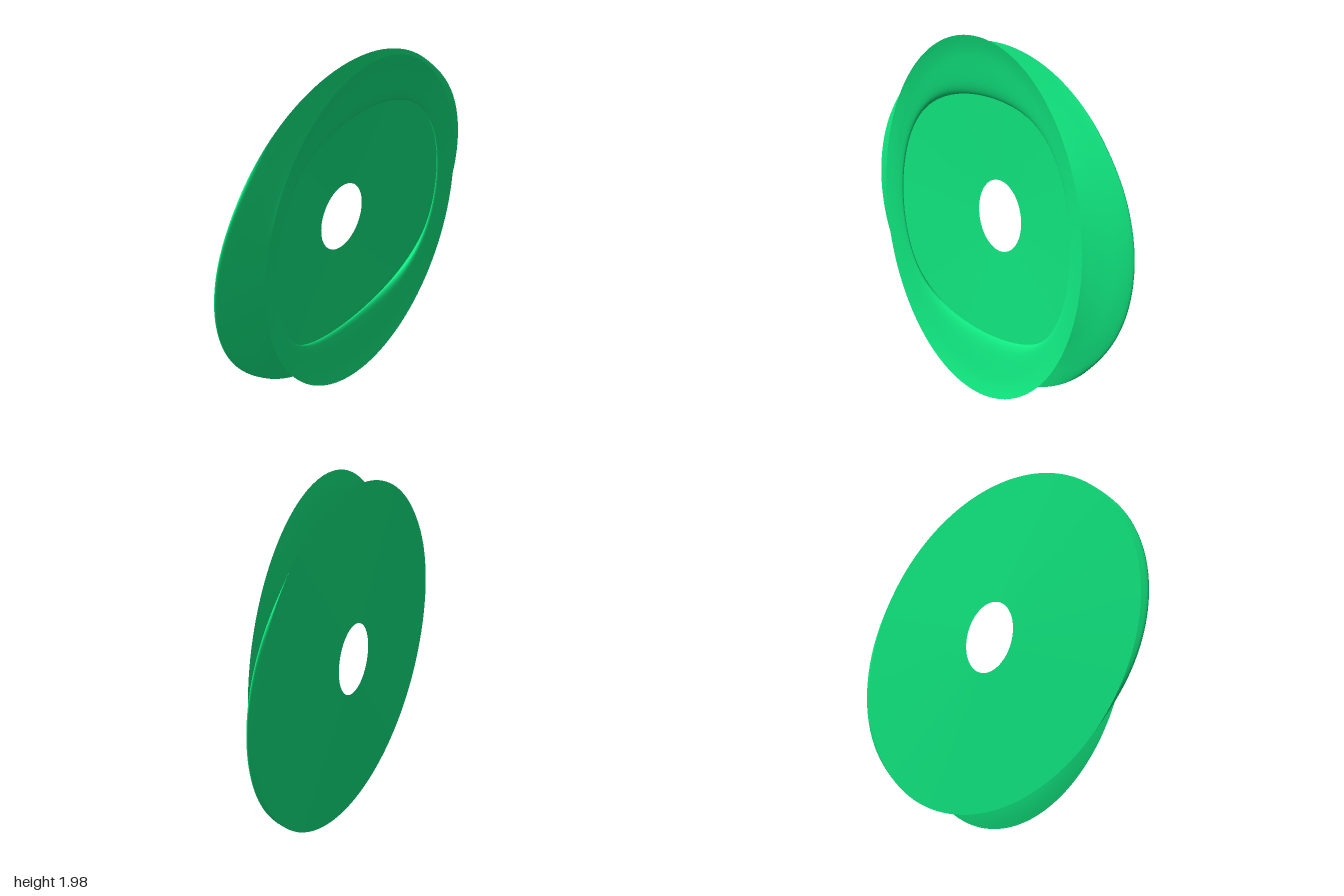
import * as THREE from 'three';

const SEGMENTS = 160;
const CENTRE_Y = 0.995;

// Wall profiles as [radius, z], front lip to back rim: one along x, one along y
const SIDE = [[0.78, 0.085], [0.71, 0.07], [0.667, 0.05], [0.73, 0.028],
  [0.83, 0.004], [0.94, -0.02], [1.0, -0.043], [0.965, -0.06]];
const TOP = [[0.99, 0.085], [0.9, 0.06], [0.73, 0.03], [0.667, 0.003],
  [0.69, -0.017], [0.76, -0.035], [0.85, -0.049], [0.94, -0.06]];

const spline = (pts) => new THREE.SplineCurve(pts.map(([r, z]) => new THREE.Vector2(r, z)));

// Closed surface of rings; pointAt(s, angle) gives a point for s in 0..1
function ringSurface(rows, pointAt) {
  const positions = [], indices = [];
  for (let i = 0; i <= rows; i++) {
    for (let j = 0; j < SEGMENTS; j++) {
      positions.push(...pointAt(i / rows, (j / SEGMENTS) * Math.PI * 2));
    }
  }
  for (let i = 0; i < rows; i++) {
    for (let j = 0; j < SEGMENTS; j++) {
      const k = (j + 1) % SEGMENTS;
      const a = i * SEGMENTS + j, b = i * SEGMENTS + k;
      const c = a + SEGMENTS, d = b + SEGMENTS;
      indices.push(a, c, b, b, c, d);
    }
  }
  const geometry = new THREE.BufferGeometry();
  geometry.setAttribute('position', new THREE.Float32BufferAttribute(positions, 3));
  geometry.setIndex(indices);
  geometry.computeVertexNormals();
  return geometry;
}

export function createModel() {
  const group = new THREE.Group();
  group.name = 'ovalGroovedDish';
  const material = new THREE.MeshStandardMaterial({ color: 0x10e880, side: THREE.DoubleSide });
  const add = (name, geometry) => {
    const mesh = new THREE.Mesh(geometry, material);
    mesh.name = name;
    mesh.position.y = CENTRE_Y;
    group.add(mesh);
  };

  // Grooved wall: tall oval lip at the front, wide rim at the back, squarish throat between
  const side = spline(SIDE), top = spline(TOP);
  add('groovedWall', ringSurface(48, (s, t) => {
    const p = side.getPoint(s), q = top.getPoint(s);
    const corner = 1 + 0.035 * Math.sin(Math.PI * s) * Math.sin(2 * t) ** 2;
    return [
      p.x * corner * Math.cos(t),
      q.x * corner * Math.sin(t),
      THREE.MathUtils.lerp(p.y, q.y, Math.sin(t) ** 2),
    ];
  }));

  // Shallow conical back with an oval hole
  const lerp = THREE.MathUtils.lerp;
  add('backDisc', ringSurface(8, (s, t) => [
    lerp(0.965, 0.168, s) * Math.cos(t),
    lerp(0.94, 0.2, s) * Math.sin(t),
    lerp(-0.06, -0.085, s),
  ]));

  return group;
}
